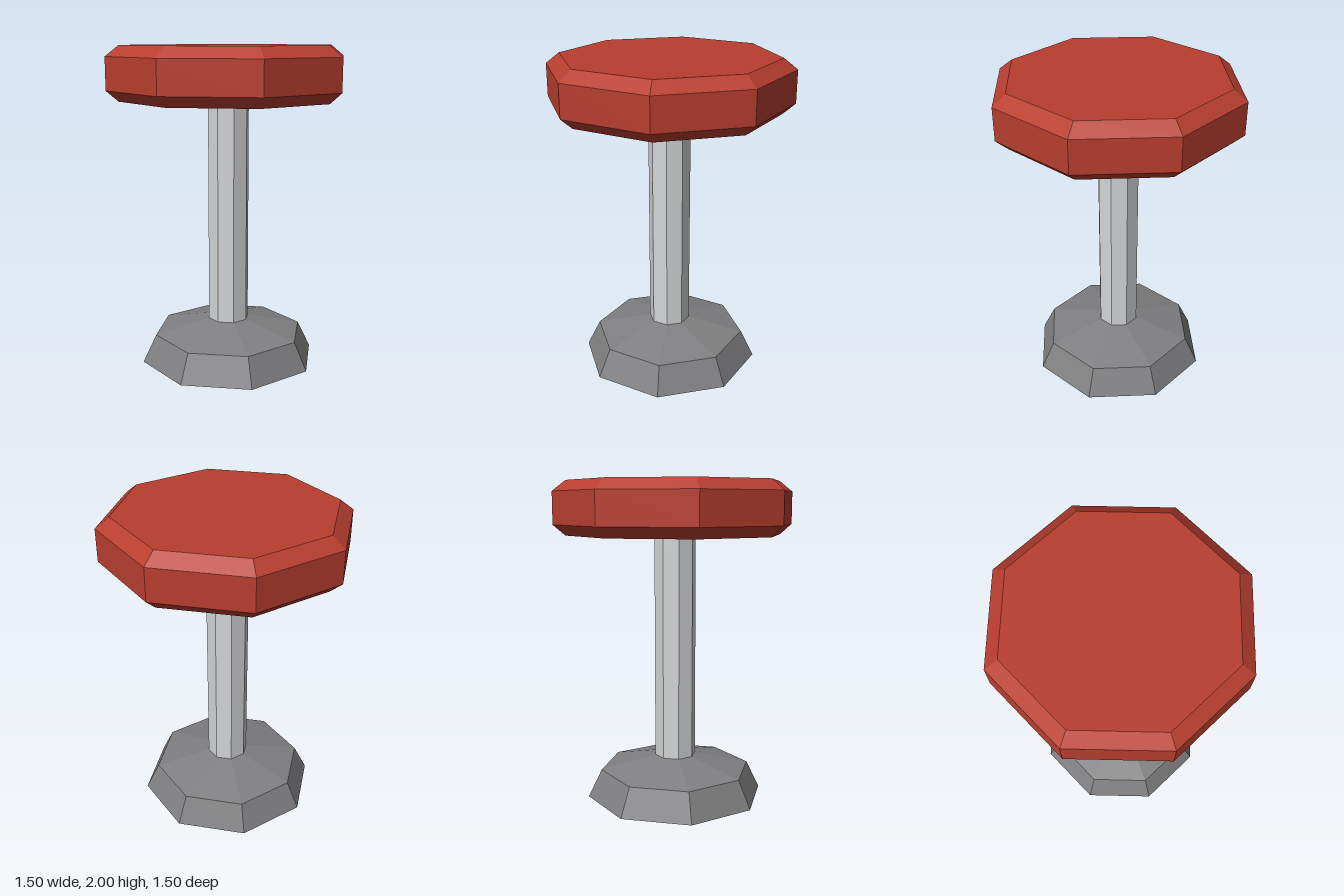
import * as THREE from 'three';

const material = (name, color) => {
  const m = new THREE.MeshStandardMaterial({ color, flatShading: true });
  m.name = name;
  return m;
};

// Eight-sided solid turned from a [radius, height] profile, listed bottom to top
function octagonPart(name, profile, mat) {
  const points = profile.map(([r, y]) => new THREE.Vector2(r, y));
  const mesh = new THREE.Mesh(new THREE.LatheGeometry(points, 8), mat);
  mesh.name = name;
  return mesh;
}

export function createModel() {
  const red = material('seatRed', 0xb83e2f);
  const steel = material('postSteel', 0xd3d5d6);
  const grey = material('baseGrey', 0x808082);

  const stool = new THREE.Group();
  stool.name = 'stool';
  stool.add(
    // Weighted foot with a shallow sloping top
    octagonPart('base', [[0, 0], [0.565, 0], [0.48, 0.175], [0.13, 0.26], [0, 0.26]], grey),
    // Straight post between foot and cushion
    octagonPart('post', [[0.13, 0.25], [0.13, 1.68]], steel),
    // Cushion with chamfered rims
    octagonPart('seat', [[0, 1.67], [0.675, 1.67], [0.75, 1.735], [0.75, 1.935], [0.667, 2], [0, 2]], red),
  );
  return stool;
}
